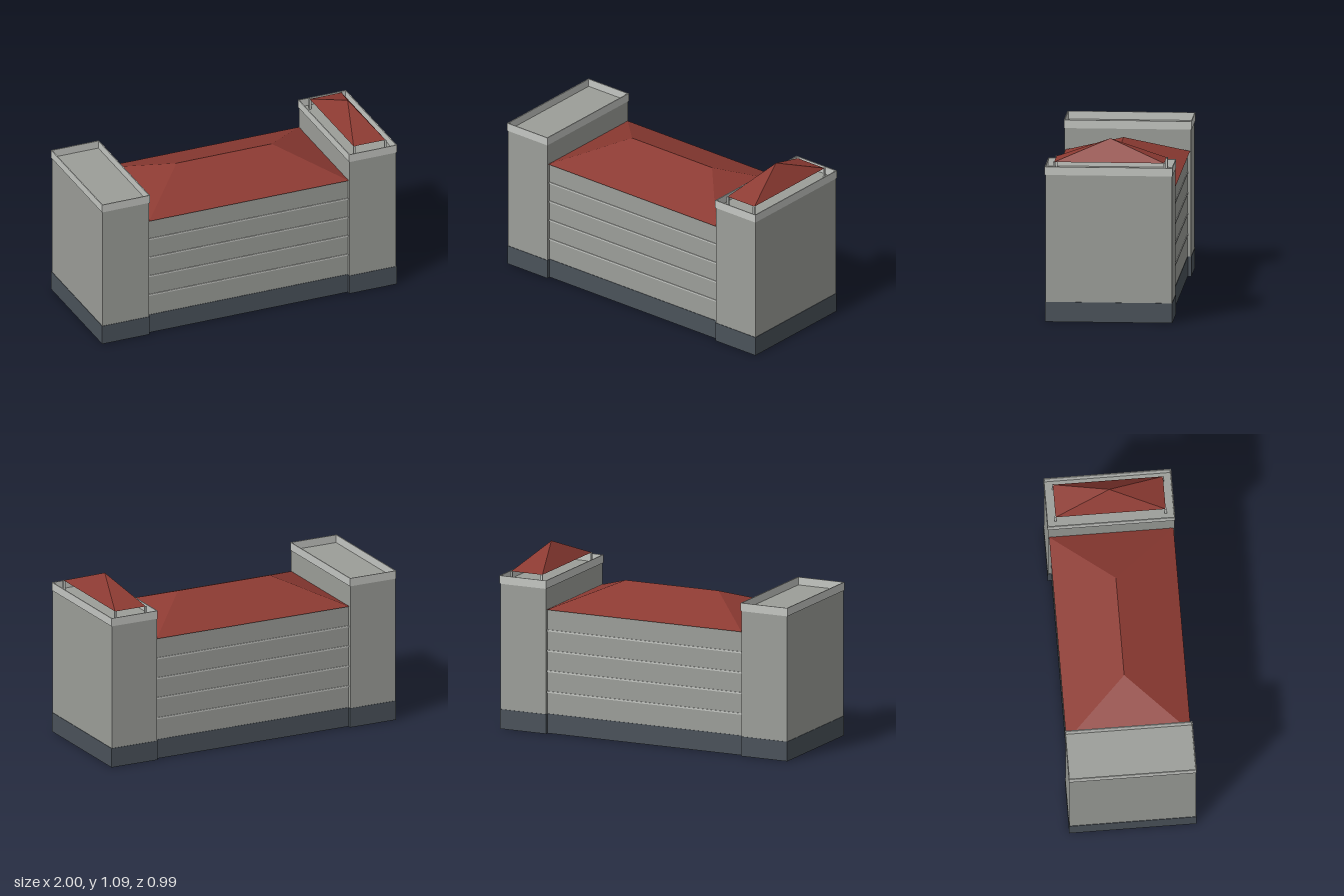
import * as THREE from 'three';

const mat = (name, color) => {
  const m = new THREE.MeshStandardMaterial({ color });
  m.name = name;
  return m;
};

// Upright rectangular band, open at top and bottom; w and d are outer sizes
function bandGeometry(w, d, h, t) {
  const rect = (P, a, b) => new P([
    new THREE.Vector2(-a, -b), new THREE.Vector2(a, -b),
    new THREE.Vector2(a, b), new THREE.Vector2(-a, b),
  ]);
  const shape = rect(THREE.Shape, w / 2, d / 2);
  shape.holes.push(rect(THREE.Path, w / 2 - t, d / 2 - t));
  return new THREE.ExtrudeGeometry(shape, { depth: h, bevelEnabled: false }).rotateX(-Math.PI / 2);
}

// Hipped roof with half length l, half depth d, half ridge r (0 gives a pyramid)
function hipGeometry(l, d, h, r) {
  const a = [-l, 0, d], b = [l, 0, d], c = [l, 0, -d], e = [-l, 0, -d];
  const p = [-r, h, 0], q = [r, h, 0];
  const tris = [a, b, q, c, e, p, b, c, q, e, a, p, a, e, c, a, c, b];
  if (r > 0) tris.push(a, q, p, c, p, q);
  const g = new THREE.BufferGeometry();
  g.setAttribute('position', new THREE.Float32BufferAttribute(tris.flat(), 3));
  g.computeVertexNormals();
  return g;
}

export function createModel() {
  const wall = mat('wall grey', 0x9c9e99);
  const trim = mat('pale trim', 0xc4c6c2);
  const slate = mat('slate plinth', 0x4a525a);
  const red = mat('red roof', 0x8c3a32);

  const model = new THREE.Group();
  model.name = 'building';
  const add = (parent, name, geometry, material, x = 0, y = 0, z = 0) => {
    const m = new THREE.Mesh(geometry, material);
    m.name = name;
    m.position.set(x, y, z);
    parent.add(m);
    return m;
  };

  // The whole building stands turned slightly on its plot
  const block = new THREE.Group();
  block.name = 'block';
  block.rotation.y = 0.117;
  model.add(block);

  // End towers: hollow walls, plinth, parapet and sunken flat roof
  const towers = [-1, 1].map((side) => {
    const tower = new THREE.Group();
    tower.name = side > 0 ? 'leftTower' : 'rightTower';
    tower.position.x = side * 0.805;
    block.add(tower);
    add(tower, 'towerWalls', bandGeometry(0.304, 0.758, 0.89, 0.006), wall);
    add(tower, 'towerPlinth', bandGeometry(0.309, 0.763, 0.12, 0.004), slate);
    add(tower, 'parapet', bandGeometry(0.312, 0.766, 0.05, 0.006), trim, 0, 0.89);
    add(tower, 'flatRoof', new THREE.BoxGeometry(0.302, 0.01, 0.756), wall, 0, 0.887);
    return tower;
  });

  // Raised pyramid roof on four posts
  for (const x of [-1, 1]) for (const z of [-1, 1]) {
    add(towers[1], 'roofPost', new THREE.BoxGeometry(0.012, 0.07, 0.012), trim, x * 0.101, 0.926, z * 0.33);
  }
  add(towers[1], 'pyramidRoof', hipGeometry(0.104, 0.33, 0.13, 0), red, 0, 0.96);

  // Middle wing: front and back walls with plinth and floor bands
  for (const side of [-1, 1]) {
    const face = new THREE.Group();
    face.name = side > 0 ? 'frontFace' : 'backFace';
    block.add(face);
    add(face, 'wingWall', new THREE.BoxGeometry(1.306, 0.76, 0.006), wall, 0, 0.38, side * 0.354);
    add(face, 'wingPlinth', new THREE.BoxGeometry(1.306, 0.12, 0.004), slate, 0, 0.06, side * 0.3575);
    for (const y of [0.253, 0.38, 0.505, 0.63]) {
      add(face, 'floorBand', new THREE.BoxGeometry(1.306, 0.01, 0.006), trim, 0, y, side * 0.358);
    }
  }
  add(block, 'hippedRoof', hipGeometry(0.65, 0.373, 0.14, 0.31), red, 0, 0.76);

  return model;
}
